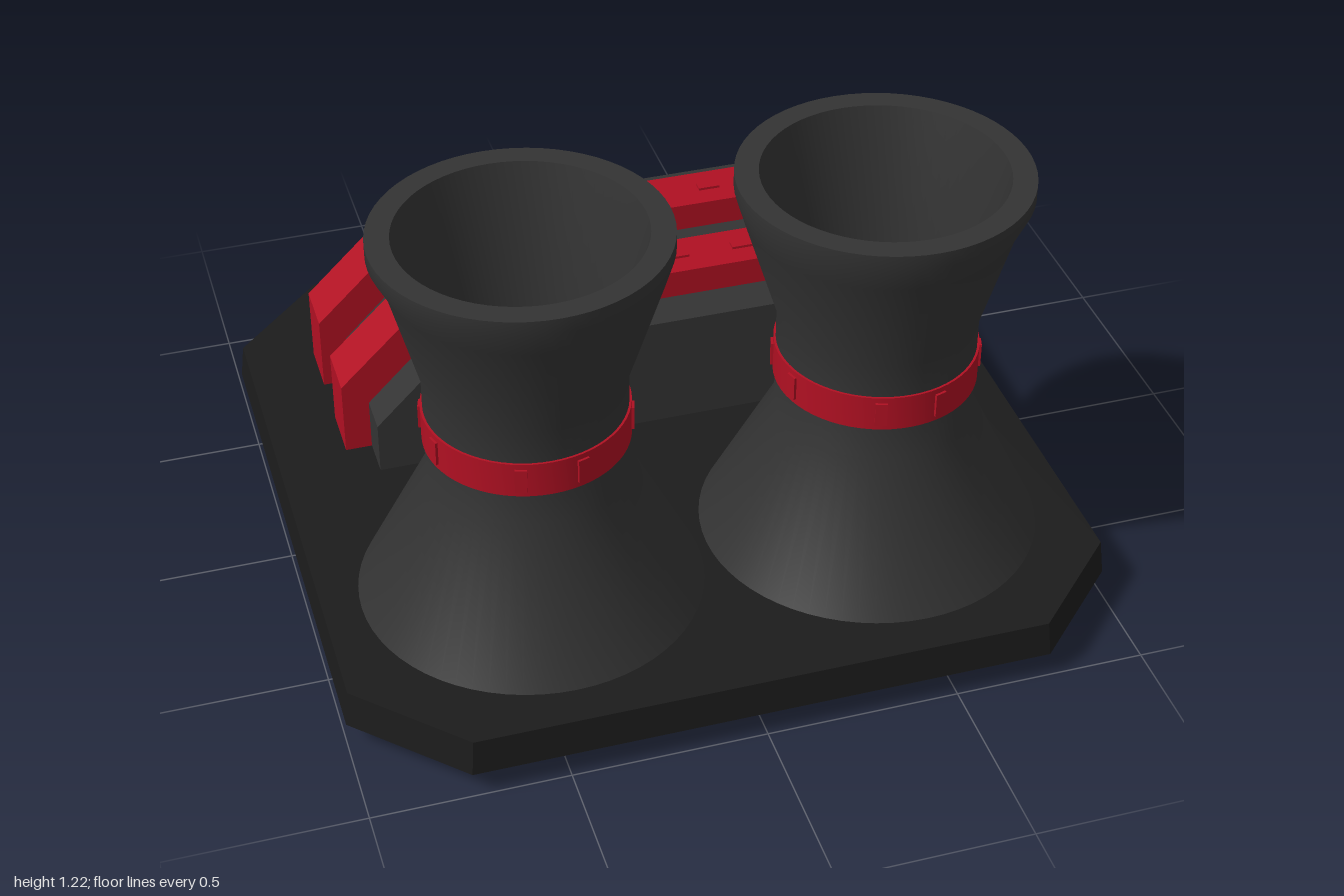
import * as THREE from 'three';
import { toCreasedNormals } from 'three/addons/utils/BufferGeometryUtils.js';

const material = (color) => new THREE.MeshStandardMaterial({ color });

function addMesh(parent, name, geometry, mat) {
  const mesh = new THREE.Mesh(geometry, mat);
  mesh.name = name;
  parent.add(mesh);
  return mesh;
}

function extrude(points, depth) {
  const shape = new THREE.Shape(points.map(([x, y]) => new THREE.Vector2(x, y)));
  return new THREE.ExtrudeGeometry(shape, { depth, bevelEnabled: false });
}

// Block with two chamfered upper corners, running along x
const chamferedBlock = (half, bottom, shoulder, topHalf, top, depth) => extrude([
  [-half, bottom], [half, bottom], [half, shoulder],
  [topHalf, top], [-topHalf, top], [-half, shoulder],
], depth);

// Octagonal base whose sides lean in slightly towards the top
function baseGeometry() {
  const c = 0.745;
  const geometry = extrude([
    [-c, -1], [c, -1], [1, -c], [1, c], [c, 1], [-c, 1], [-1, c], [-1, -c],
  ], 0.095);
  geometry.rotateX(-Math.PI / 2);
  const p = geometry.attributes.position;
  for (let i = 0; i < p.count; i++) {
    if (p.getY(i) > 0.05) p.setXYZ(i, p.getX(i) * 0.99, p.getY(i), p.getZ(i) * 0.99);
  }
  geometry.translate(0, 0.07, 0);
  geometry.computeVertexNormals();
  return geometry;
}

// Hollow waisted tower, slightly dented below the rim on its outer side
function towerGeometry(side) {
  const dentY = 1.11;
  const profile = [
    [0.44, 0.165], [0.252, 0.54], [0.252, 0.82], [0.344, dentY], [0.365, 1.18], [0.365, 1.22],
    [0.305, 1.22], [0.23, 0.82], [0.23, 0.54], [0.41, 0.165],
  ].map(([r, y]) => new THREE.Vector2(r, y));
  const geometry = new THREE.LatheGeometry(profile, 64);
  const p = geometry.attributes.position;
  for (let i = 0; i < p.count; i++) {
    if (Math.abs(p.getY(i) - dentY) > 0.001) continue;
    const x = p.getX(i), z = p.getZ(i), r = Math.hypot(x, z);
    const k = 1 - 0.015 * Math.max(0, side * x / r) / r;
    p.setXYZ(i, x * k, dentY, z * k);
  }
  return toCreasedNormals(geometry, 0.6);
}

export function createModel() {
  const model = new THREE.Group();
  model.name = 'twinTowerPlatform';
  const dark = material(0x333333);
  const black = material(0x1b1b1b);
  const red = material(0xb01022);

  addMesh(model, 'base', baseGeometry(), black);

  // Towers with riveted collars
  for (const side of [-1, 1]) {
    const tower = new THREE.Group();
    tower.name = side > 0 ? 'leftTower' : 'rightTower';
    tower.position.set(side * 0.453, 0, 0.445);
    model.add(tower);
    addMesh(tower, 'towerShell', towerGeometry(side), dark);

    const collar = new THREE.LatheGeometry([
      [0.25, 0.635], [0.258, 0.635], [0.258, 0.73], [0.25, 0.73],
    ].map(([r, y]) => new THREE.Vector2(r, y)), 64);
    addMesh(tower, 'collar', toCreasedNormals(collar, 0.6), red);

    for (let q = 0; q < 4; q++) {
      for (const offset of [-0.3, 0.3]) {
        const a = q * Math.PI / 2 + offset;
        const stud = addMesh(tower, 'collarStud', new THREE.BoxGeometry(0.03, 0.065, 0.02), red);
        stud.position.set(Math.sin(a) * 0.254, 0.683, Math.cos(a) * 0.254);
        stud.rotation.y = a;
      }
    }
  }

  // Housing behind the towers
  const housing = addMesh(model, 'housing', chamferedBlock(0.732, 0.16, 0.31, 0.555, 0.487, 0.7), dark);
  housing.position.z = -0.785;

  // Straps over the housing, passing through the base
  for (const z of [-0.272, -0.578]) {
    const strap = new THREE.Group();
    strap.name = 'strap';
    strap.position.z = z;
    model.add(strap);
    const band = addMesh(strap, 'strapBand', chamferedBlock(0.803, 0, 0.373, 0.605, 0.565, 0.152), red);
    band.position.z = -0.076;
    for (const x of [-0.515, -0.335, -0.152, 0.152, 0.335, 0.515]) {
      const stud = addMesh(strap, 'strapStud', new THREE.BoxGeometry(0.06, 0.02, 0.03), red);
      stud.position.set(x, 0.562, 0);
    }
  }
  return model;
}
